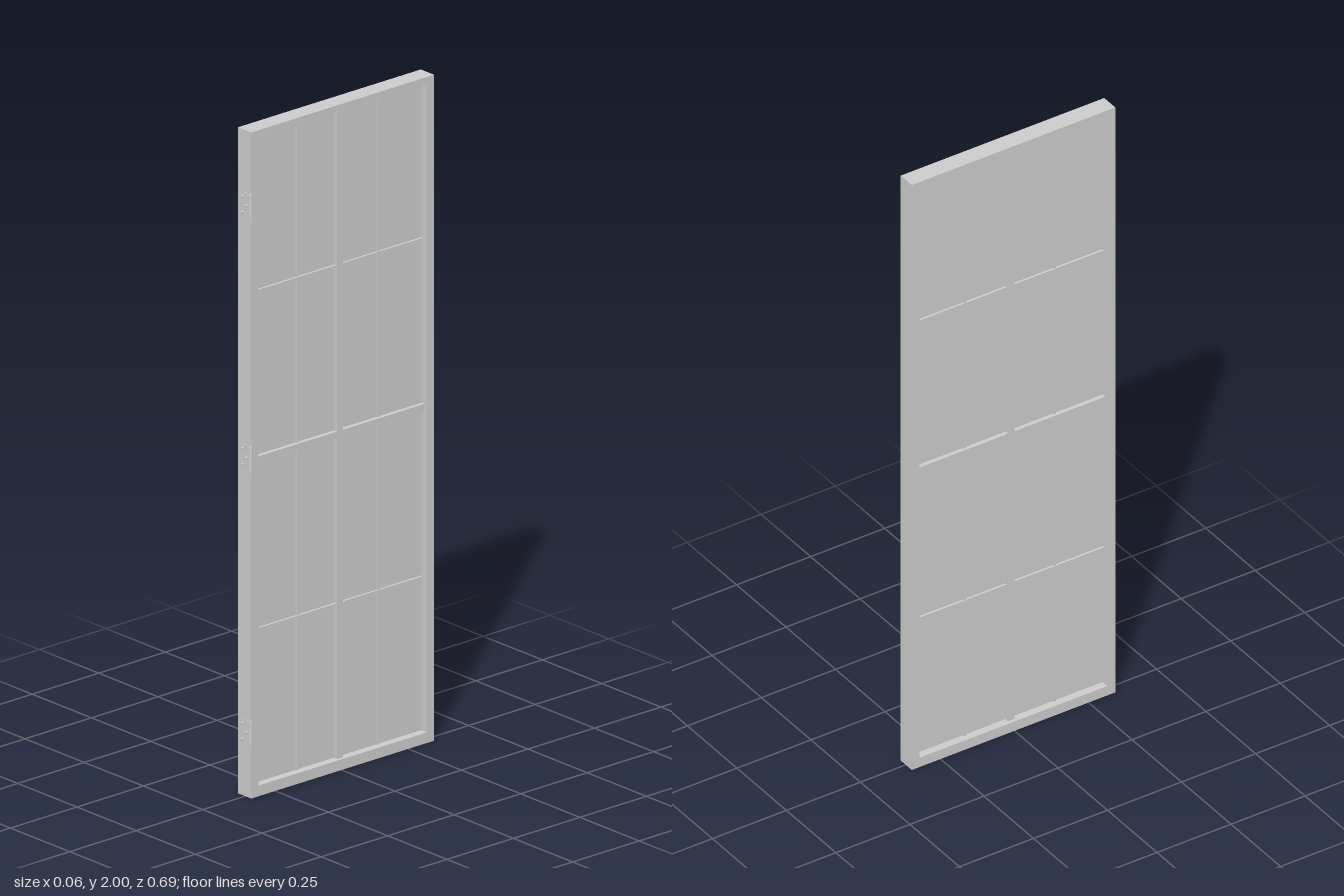
import * as THREE from 'three';

export function createModel() {
  const door = new THREE.Group();
  door.name = 'glazedDoor';
  const mat = new THREE.MeshStandardMaterial({ color: 0xcccccc });
  const CX = -0.0025, CZ = -0.0035; // middle of the door leaf

  const add = (name, geo, x, y, z, parent = door) => {
    const mesh = new THREE.Mesh(geo, mat);
    mesh.name = name;
    mesh.position.set(x, y, z);
    parent.add(mesh);
    return mesh;
  };
  const box = (name, w, h, d, x, y, z, parent) =>
    add(name, new THREE.BoxGeometry(w, h, d), x, y, z, parent);

  // Outer frame: one extruded rectangle with the glazed opening cut out
  const rect = (target, a, b, y0, y1) => {
    target.moveTo(a, y0);
    target.lineTo(b, y0);
    target.lineTo(b, y1);
    target.lineTo(a, y1);
    target.closePath();
    return target;
  };
  const outline = rect(new THREE.Shape(), -0.3435, 0.3435, 0, 2);
  outline.holes.push(rect(new THREE.Path(), -0.317, 0.317, 0.032, 1.978));
  const frameGeo = new THREE.ExtrudeGeometry(outline, { depth: 0.056, bevelEnabled: false });
  frameGeo.translate(0, 0, -0.028).rotateY(Math.PI / 2);
  add('frame', frameGeo, CX, 0, CZ);

  // Glass sheet
  box('glass', 0.008, 1.95, 0.638, CX, 1.005, CZ);

  // Heavy centre stile and middle rail
  box('centreStile', 0.034, 1.95, 0.022, CX, 1.005, CZ);
  box('middleRail', 0.034, 0.02, 0.638, CX, 1.005, CZ);

  // Thin glazing bars
  for (const s of [-1, 1]) {
    box('verticalGlazingBar', 0.018, 1.95, 0.007, CX, 1.005, CZ + s * 0.152);
    box('horizontalGlazingBar', 0.022, 0.009, 0.638, CX, 1.0 + s * 0.508, CZ);
  }

  // Hinges: leaf plate, knuckled barrel and screw heads
  for (const y of [0.194, 1.019, 1.776]) {
    const hinge = new THREE.Group();
    hinge.name = 'hinge';
    hinge.position.set(0, y, 0.34);
    door.add(hinge);
    box('hingeLeaf', 0.042, 0.074, 0.003, 0.004, 0, 0.0005, hinge);
    for (let i = -1; i <= 1; i++) {
      add('hingeKnuckle', new THREE.CylinderGeometry(0.005, 0.005, 0.0245, 16), 0.0255, i * 0.0252, 0.002, hinge);
    }
    for (const [x, dy] of [[-0.009, 0.024], [-0.009, -0.024], [0.008, 0]]) {
      const screw = add('hingeScrew', new THREE.SphereGeometry(0.005, 12, 8), x, dy, 0.002, hinge);
      screw.scale.z = 0.9;
    }
  }
  return door;
}
